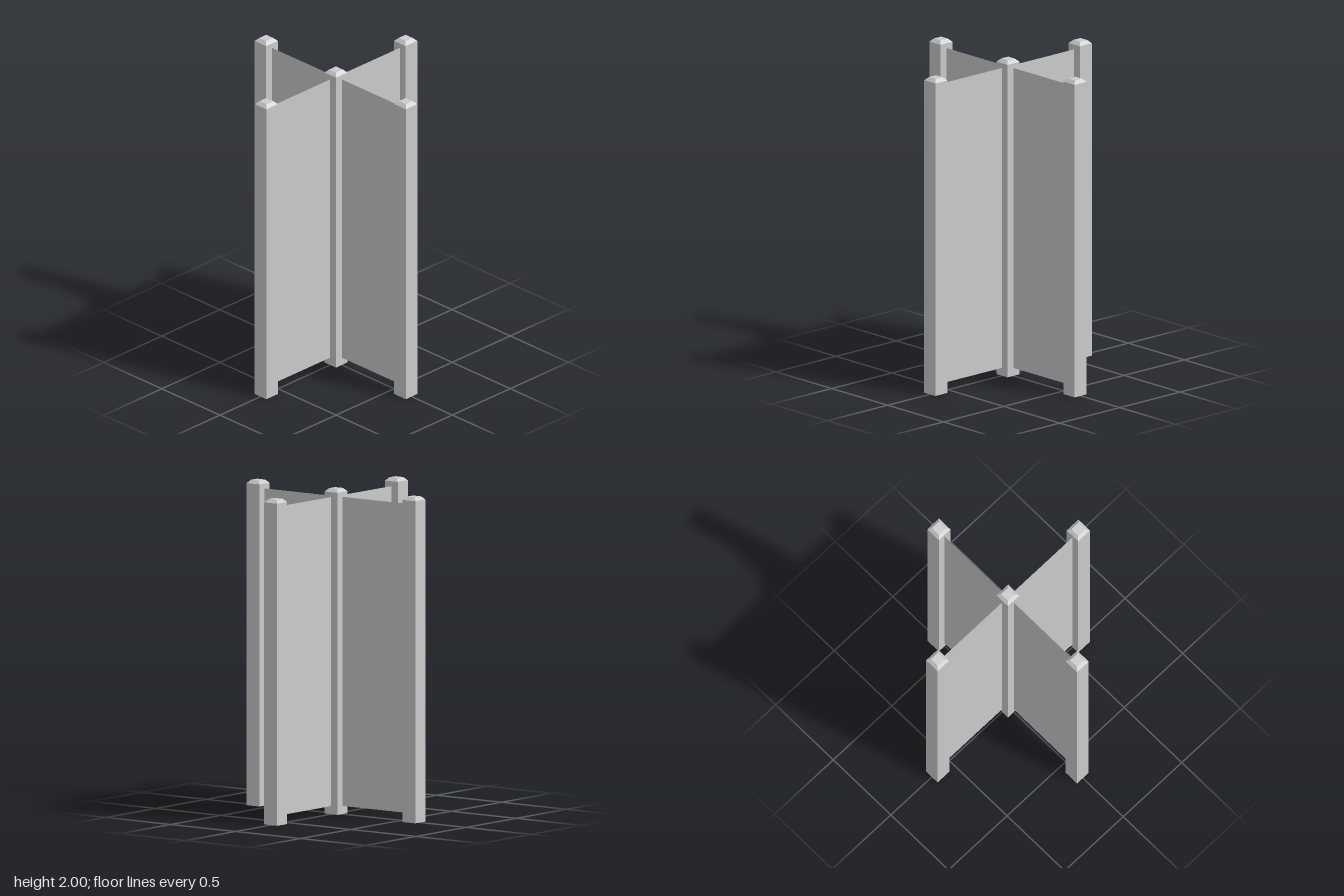
import * as THREE from 'three';

export function createModel() {
  const model = new THREE.Group();
  const postMaterial = new THREE.MeshStandardMaterial({ color: 0xcccccc, flatShading: true });
  const panelMaterial = new THREE.MeshStandardMaterial({ color: 0xcccccc, side: THREE.DoubleSide });

  // Square post with a chamfered cap: a four-sided lathe of its half widths
  const profile = [[0, 0], [0.05, 0], [0.05, 1.98], [0.03, 2], [0, 2]]
    .map(([halfWidth, y]) => new THREE.Vector2(halfWidth * Math.SQRT2, y));
  const postGeometry = new THREE.LatheGeometry(profile, 4, Math.PI / 4);

  // Thin panel spanning the gap between the centre post and an outer post
  const panelGeometry = new THREE.PlaneGeometry(0.5, 1.9).translate(0.3, 1, 0);

  const centrePost = new THREE.Mesh(postGeometry, postMaterial);
  centrePost.name = 'centrePost';
  model.add(centrePost);

  // Four identical wings around the centre post
  ['left', 'back', 'right', 'front'].forEach((side, i) => {
    const wing = new THREE.Group();
    wing.name = side + 'Wing';
    wing.rotation.y = i * Math.PI / 2;

    const post = new THREE.Mesh(postGeometry, postMaterial);
    post.name = side + 'Post';
    post.position.x = 0.6;

    const panel = new THREE.Mesh(panelGeometry, panelMaterial);
    panel.name = side + 'Panel';

    wing.add(post, panel);
    model.add(wing);
  });

  return model;
}
